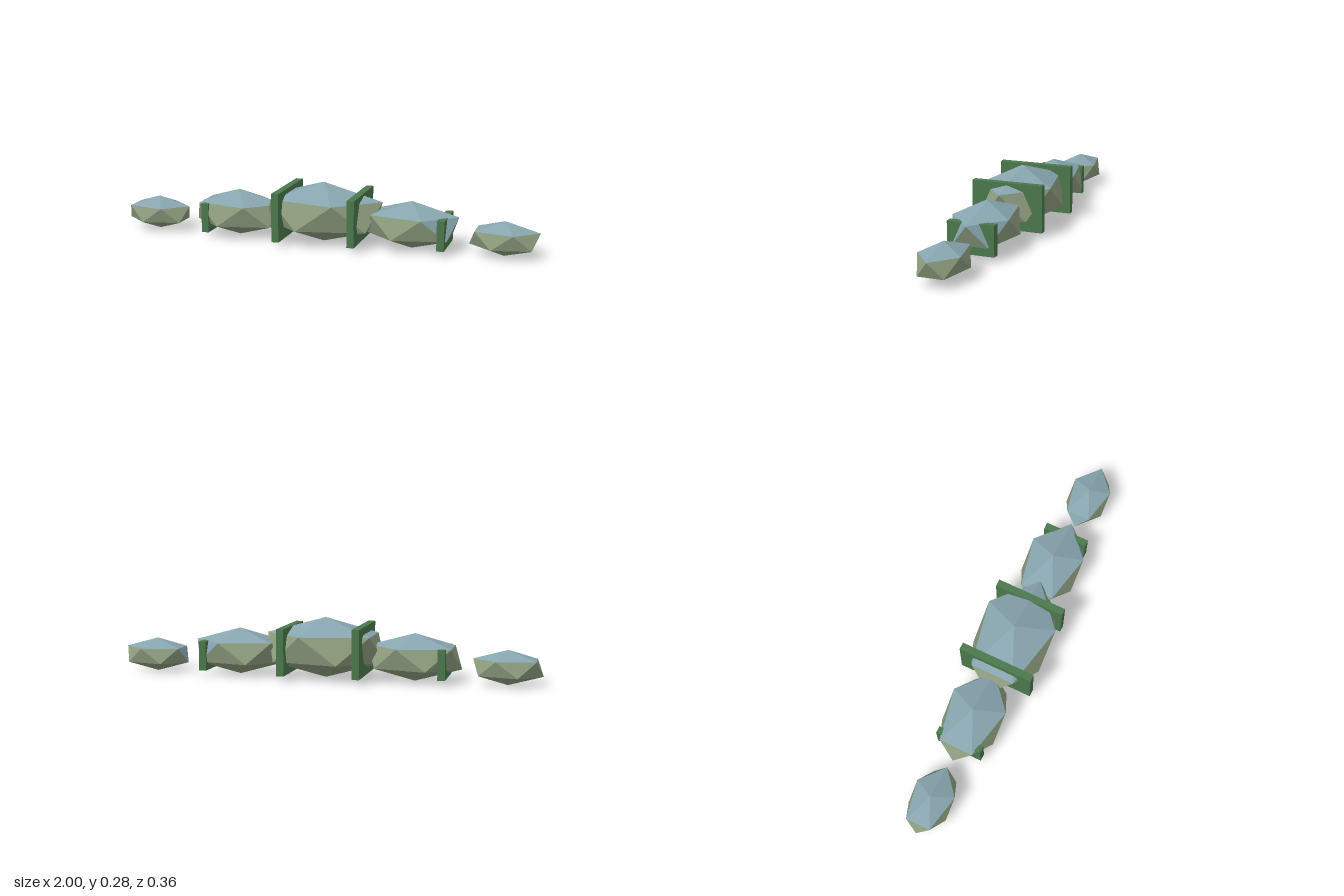
import * as THREE from 'three';

export function createModel() {
  const moss = new THREE.MeshStandardMaterial({ color: 0x8f9f80 });
  moss.name = 'mossy stone';
  const slate = new THREE.MeshStandardMaterial({ color: 0x87a5af });
  slate.name = 'blue slate';
  const leaf = new THREE.MeshStandardMaterial({ color: 0x4b784c });
  leaf.name = 'dark green';
  for (const m of [moss, slate, leaf]) m.flatShading = true;

  const model = new THREE.Group();
  model.name = 'steppingStones';

  // Stretched twenty-sided stone standing on a point: a cap, two rings of five and a base.
  // slateSides lists the side faces that share the cap colour.
  function stone(name, x, y, rx, ry, rz, slateSides = []) {
    const ring = (level, turn) => Array.from({ length: 5 }, (_, i) => {
      const a = ((i + turn) * Math.PI * 2) / 5;
      return [0.8944 * rx * Math.cos(a), level * ry, 0.8944 * rz * Math.sin(a)];
    });
    const up = ring(0.4472, 0), low = ring(-0.4472, 0.5);
    const top = [0, ry, 0], base = [0, -ry, 0];
    const capFaces = [], bodyFaces = [];
    for (let i = 0; i < 5; i++) {
      const j = (i + 1) % 5, h = (i + 4) % 5;
      capFaces.push(top, up[j], up[i]);
      (slateSides.includes(i) ? capFaces : bodyFaces).push(up[i], up[j], low[i]);
      bodyFaces.push(low[h], up[i], low[i], base, low[i], low[j]);
    }
    const geo = new THREE.BufferGeometry();
    const points = [...capFaces, ...bodyFaces].flat();
    geo.setAttribute('position', new THREE.Float32BufferAttribute(points, 3));
    geo.addGroup(0, capFaces.length, 0);
    geo.addGroup(capFaces.length, bodyFaces.length, 1);
    geo.computeVertexNormals();
    const mesh = new THREE.Mesh(geo, [slate, moss]);
    mesh.name = name;
    mesh.position.set(x, y, 0);
    model.add(mesh);
  }

  stone('centreStone', 0, 0.145, 0.315, 0.141, 0.2);
  stone('rightMiddleStone', -0.42, 0.114, 0.242, 0.11, 0.154);
  stone('leftMiddleStone', 0.42, 0.114, 0.242, 0.11, 0.154, [0, 4]);
  stone('rightEndStone', -0.842, 0.082, 0.176, 0.08, 0.11);
  stone('leftEndStone', 0.842, 0.082, 0.176, 0.08, 0.11, [2]);

  // Upright slabs crossing the stones: x, bottom, top, half depth
  const slabs = [
    ['rightOuterSlab', -0.556, 0.027, 0.165, 0.11],
    ['rightInnerSlab', -0.18, 0.026, 0.253, 0.178],
    ['leftInnerSlab', 0.175, 0.026, 0.243, 0.169],
    ['leftOuterSlab', 0.573, 0.027, 0.165, 0.108],
  ];
  for (const [name, x, bottom, top, half] of slabs) {
    const slab = new THREE.Mesh(new THREE.BoxGeometry(0.034, top - bottom, half * 2), leaf);
    slab.name = name;
    slab.position.set(x, (top + bottom) / 2, 0);
    model.add(slab);
  }
  return model;
}
